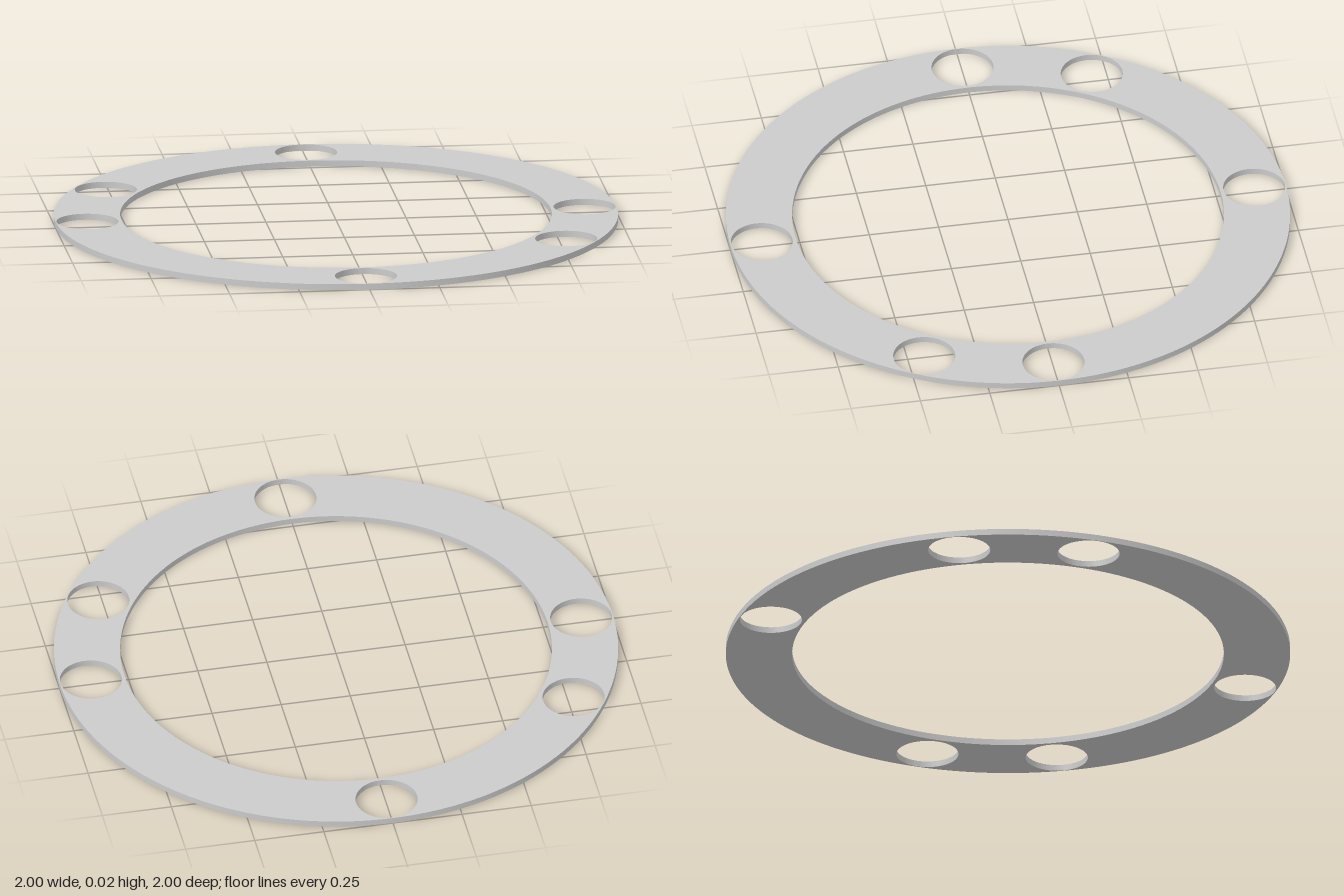
import * as THREE from 'three';
import { toCreasedNormals } from 'three/addons/utils/BufferGeometryUtils.js';

const OUTER = 1, INNER = 0.765, THICKNESS = 0.022;
const HOLE_RADIUS = 0.11, HOLE_CIRCLE = 0.887;
const HOLE_ANGLES = [0, 30, 90, 180, 210, 270]; // degrees from +x towards +z

function circle(path, x, y, radius) {
  path.absarc(x, y, radius, 0, Math.PI * 2, false);
  return path;
}

export function createModel() {
  const group = new THREE.Group();
  group.name = 'perforatedRing';

  // flat ring outline with its central opening
  const outline = circle(new THREE.Shape(), 0, 0, OUTER);
  outline.holes.push(circle(new THREE.Path(), 0, 0, INNER));

  // round holes through the band
  for (const degrees of HOLE_ANGLES) {
    const a = THREE.MathUtils.degToRad(degrees);
    outline.holes.push(circle(new THREE.Path(), HOLE_CIRCLE * Math.cos(a), HOLE_CIRCLE * Math.sin(a), HOLE_RADIUS));
  }

  // thin plate laid flat on the ground plane
  const geometry = new THREE.ExtrudeGeometry(outline, { depth: THICKNESS, bevelEnabled: false, curveSegments: 72 });
  geometry.rotateX(Math.PI / 2);
  geometry.translate(0, THICKNESS, 0);

  const ring = new THREE.Mesh(
    toCreasedNormals(geometry, Math.PI / 6),
    new THREE.MeshStandardMaterial({ color: 0xcccccc })
  );
  ring.name = 'ringPlate';
  group.add(ring);
  return group;
}
